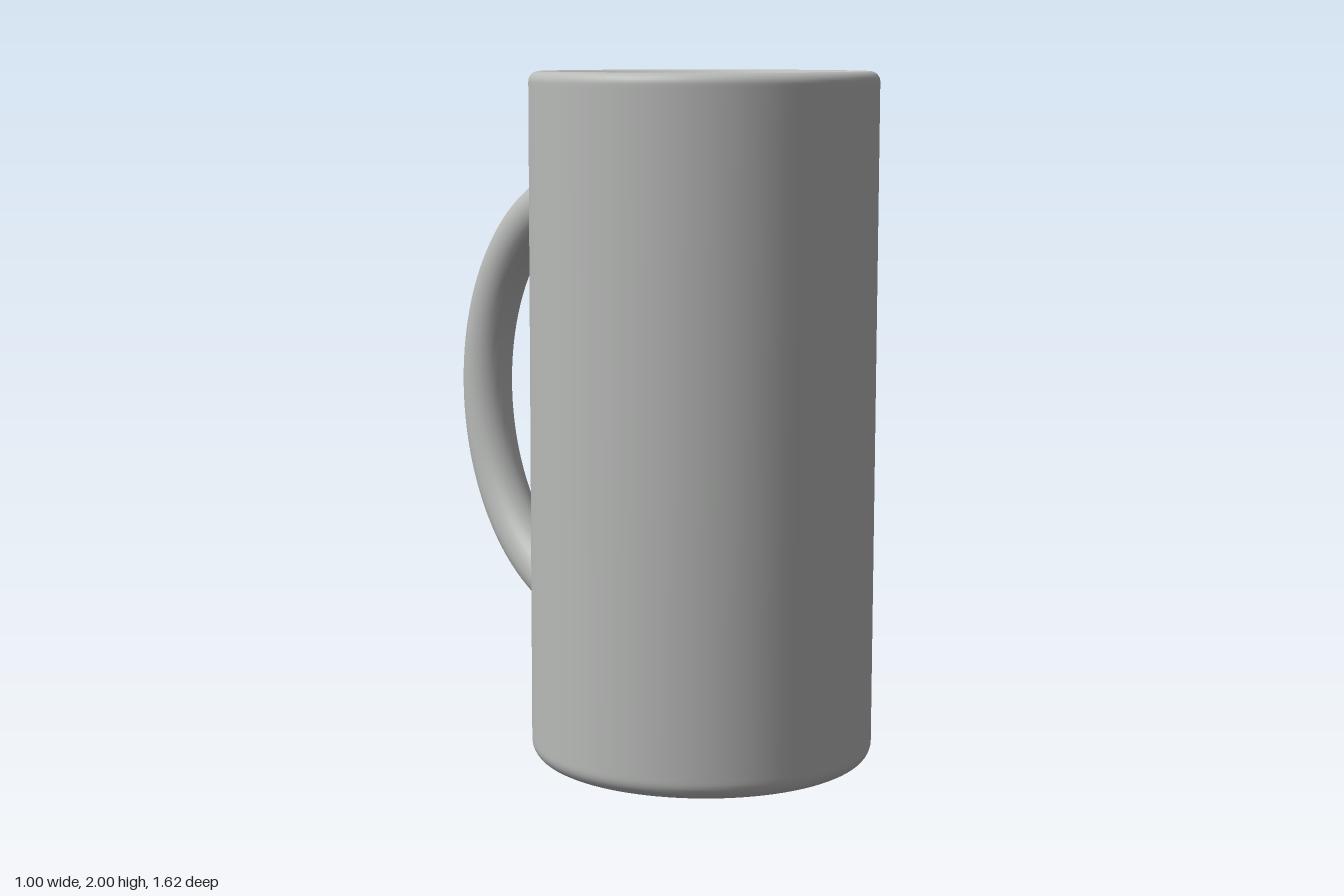
import * as THREE from 'three';

const R = 0.5, INNER = 0.44, H = 2, FLOOR = 0.06, CUP_Z = 0.31;

// Rounded corner of a profile, from angle a to angle b (degrees)
function corner(cx, cy, r, a, b, steps = 8) {
  return Array.from({ length: steps + 1 }, (_, i) => {
    const t = THREE.MathUtils.degToRad(a + ((b - a) * i) / steps);
    return new THREE.Vector2(cx + r * Math.cos(t), cy + r * Math.sin(t));
  });
}

export function createModel() {
  const group = new THREE.Group();
  group.name = 'mug';
  const ceramic = new THREE.MeshStandardMaterial({ color: 0xb8bab8 });
  ceramic.name = 'grey ceramic';

  // Cup: closed wall profile with rounded foot, rim and inner floor;
  // the extra points beside each corner keep the straight runs flat
  const p = (x, y) => new THREE.Vector2(x, y);
  const foot = 0.05, lip = (R - INNER) / 2, bowl = 0.06;
  const profile = [
    p(0, 0), p(R - foot - 0.01, 0),
    ...corner(R - foot, foot, foot, -90, 0),
    p(R, foot + 0.01), p(R, H - lip - 0.01),
    ...corner(R - lip, H - lip, lip, 0, 180, 14),
    p(INNER, H - lip - 0.01), p(INNER, FLOOR + bowl + 0.01),
    ...corner(INNER - bowl, FLOOR + bowl, bowl, 0, -90),
    p(INNER - bowl - 0.01, FLOOR), p(0, FLOOR),
  ];
  const cup = new THREE.Mesh(new THREE.LatheGeometry(profile, 96), ceramic);
  cup.name = 'cup';
  cup.position.z = CUP_Z;
  group.add(cup);

  // Handle: half-ellipse tube whose ends are sunk into the wall
  const tube = 0.078, z0 = -0.19, ry = 0.64, rz = 0.81 + z0 - tube;
  const path = [new THREE.Vector3(0, 1 + ry, z0 + 0.035)];
  for (let i = 0; i <= 24; i++) {
    const t = (Math.PI * i) / 24;
    path.push(new THREE.Vector3(0, 1 + ry * Math.cos(t), z0 - rz * Math.sin(t)));
  }
  path.push(new THREE.Vector3(0, 1 - ry, z0 + 0.035));
  const handle = new THREE.Mesh(
    new THREE.TubeGeometry(new THREE.CatmullRomCurve3(path), 80, tube, 28), ceramic);
  handle.name = 'handle';
  group.add(handle);

  return group;
}
